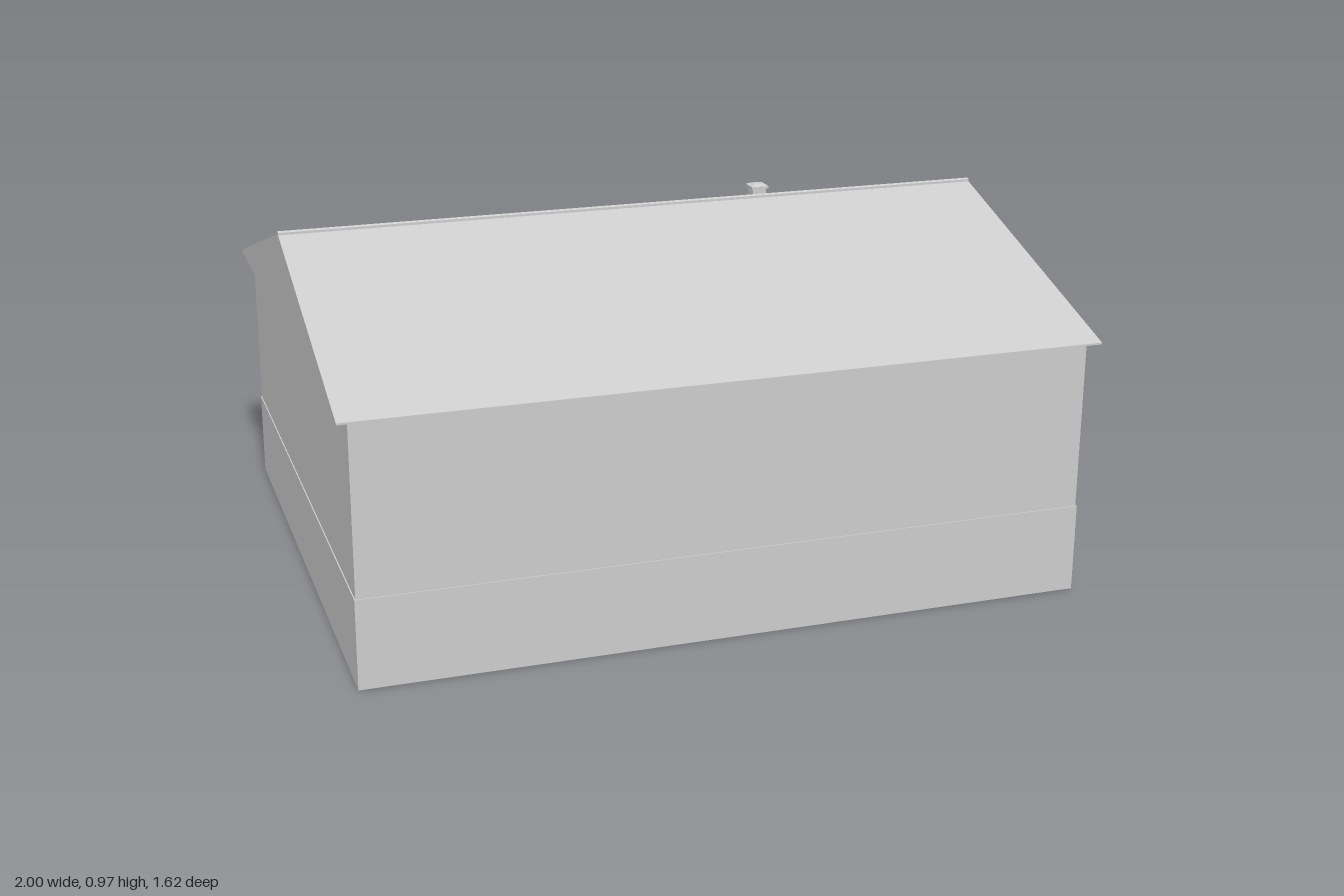
import * as THREE from 'three';

export function createModel() {
  const model = new THREE.Group();
  model.name = 'house';
  const grey = new THREE.MeshStandardMaterial({ color: 0xcccccc });
  grey.name = 'plain grey';

  const add = (name, geometry, parent = model) => {
    const mesh = new THREE.Mesh(geometry, grey);
    mesh.name = name;
    parent.add(mesh);
    return mesh;
  };
  // Box given by its lower and upper limits on each axis
  const box = (name, [x0, x1], [y0, y1], [z0, z1], parent) => {
    const mesh = add(name, new THREE.BoxGeometry(x1 - x0, y1 - y0, z1 - z0), parent);
    mesh.position.set((x0 + x1) / 2, (y0 + y1) / 2, (z0 + z1) / 2);
    return mesh;
  };
  // Profile of [z, y] points swept along x
  const sweepX = (name, points, length) => {
    const shape = new THREE.Shape(points.map(([z, y]) => new THREE.Vector2(-z, y)));
    const geometry = new THREE.ExtrudeGeometry(shape, { depth: length, bevelEnabled: false });
    geometry.translate(0, 0, -length / 2).rotateY(Math.PI / 2);
    return add(name, geometry);
  };

  // Walls standing on a slightly wider plinth
  box('plinth', [-0.973, 0.973], [0, 0.24], [-0.779, 0.784]);
  box('walls', [-0.97, 0.97], [0.24, 0.7], [-0.776, 0.781]);

  // Gabled roof with flush ends, thin eaves and a ridge cap
  sweepX('roof', [[0.806, 0.697], [0.806, 0.702], [0, 0.953], [-0.806, 0.702], [-0.806, 0.697]], 2);
  sweepX('ridgeCap', [[0.008, 0.946], [0.008, 0.957], [0, 0.96], [-0.008, 0.957], [-0.008, 0.946]], 2);

  // Chimney on the back slope with a low pointed cap
  const chimney = new THREE.Group();
  chimney.name = 'chimney';
  model.add(chimney);
  box('chimneyShaft', [0.36, 0.4], [0.9, 0.96], [-0.107, -0.067], chimney);
  box('chimneySlab', [0.355, 0.405], [0.957, 0.964], [-0.112, -0.062], chimney);
  const cap = add('chimneyCap', new THREE.CylinderGeometry(0.018, 0.0354, 0.005, 4).rotateY(Math.PI / 4).toNonIndexed(), chimney);
  cap.geometry.computeVertexNormals();
  cap.position.set(0.38, 0.9665, -0.087);

  // Back window: frame, pane, crossbar and sill
  const windowGroup = new THREE.Group();
  windowGroup.name = 'backWindow';
  model.add(windowGroup);
  const depth = [-0.786, -0.774];
  for (const x of [0.503, 0.588]) box('frameSide', [x, x + 0.009], [0.19, 0.36], depth, windowGroup);
  for (const y of [0.19, 0.351]) box('frameRail', [0.512, 0.588], [y, y + 0.009], depth, windowGroup);
  box('crossbar', [0.512, 0.588], [0.262, 0.268], [-0.784, -0.774], windowGroup);
  box('pane', [0.512, 0.588], [0.199, 0.351], [-0.781, -0.774], windowGroup);
  box('sill', [0.5, 0.6], [0.18, 0.19], [-0.81, -0.774], windowGroup);

  return model;
}
